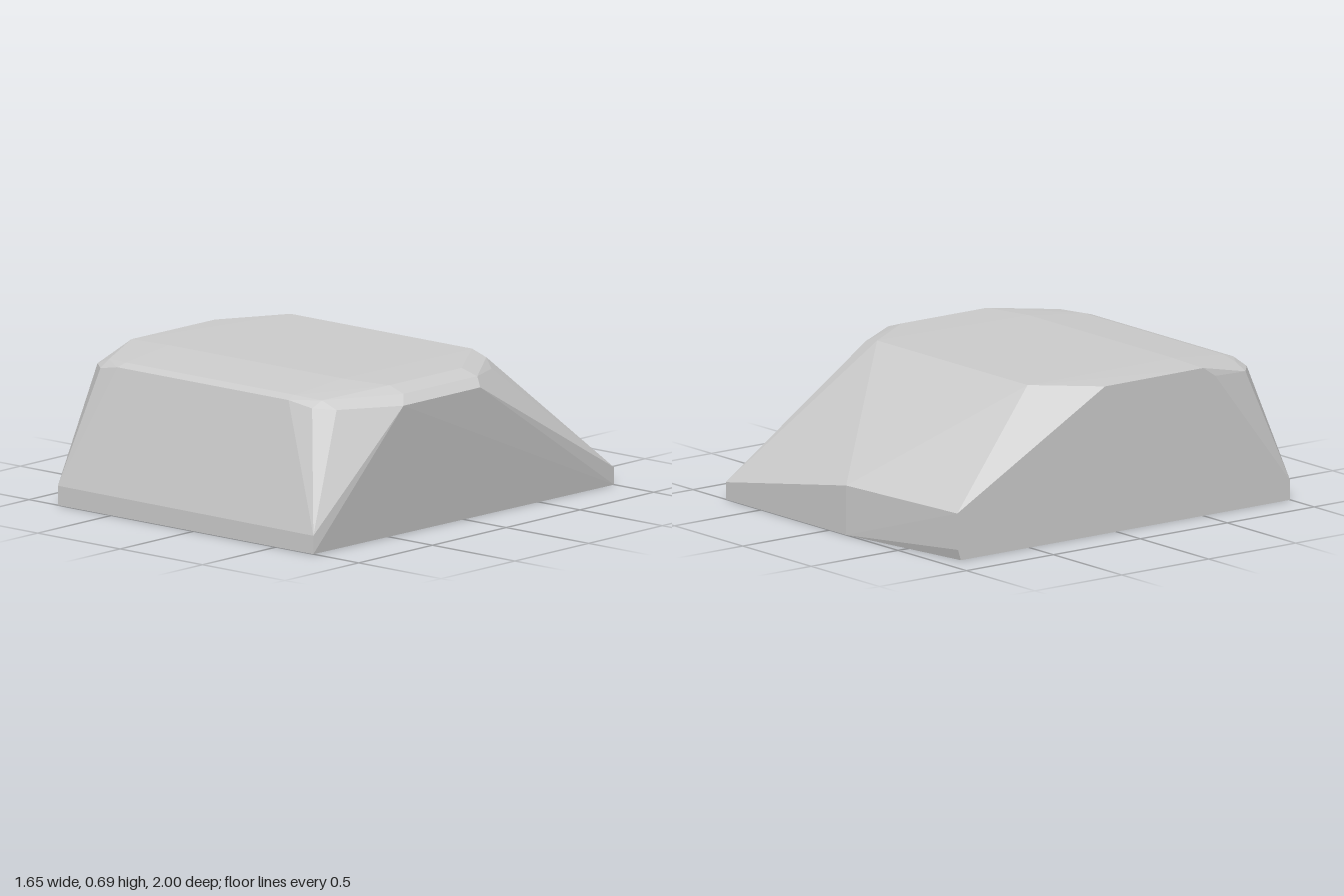
import * as THREE from 'three';
import { ConvexGeometry } from 'three/addons/geometries/ConvexGeometry.js';

const v = (x, y, z) => new THREE.Vector3(x, y, z);

export function createModel() {
  const group = new THREE.Group();
  group.name = 'wedgeBlock';

  // Flat base and the low upright rim around it
  const base = [
    v(0.725, 0, 1), v(0.725, 0.085, 1), v(-0.825, 0, 1), v(-0.825, 0.09, 1),
    v(0.76, 0, -1), v(0.76, 0.08, -1),
    v(-0.12, 0, -1), v(-0.12, 0.23, -1),
    v(-0.825, 0, -0.895), v(-0.825, 0.05, -0.91), v(-0.825, 0.22, -0.915),
  ];

  // Shoulder: where the sloping sides meet the bevel
  const shoulder = [
    v(0.825, 0.62, 0.5), v(0.825, 0.62, -0.02),
    v(0.66, 0.62, 0.77), v(0.57, 0.625, 0.835), v(0.44, 0.647, 0.85),
    v(-0.6, 0.647, 0.85), v(-0.71, 0.625, 0.84), v(-0.79, 0.625, 0.77),
    v(-0.825, 0.64, 0.57),
    v(0.66, 0.64, -0.28), v(0.58, 0.672, -0.335),
  ];

  // Bevel and nearly flat top
  const top = [
    v(0.78, 0.66, 0.45), v(0.78, 0.66, -0.05),
    v(0.695, 0.688, 0.45), v(0.695, 0.688, -0.04),
    v(0.58, 0.655, 0.78), v(0.43, 0.662, 0.8), v(-0.59, 0.662, 0.8), v(-0.72, 0.655, 0.77),
    v(0.45, 0.692, 0.5), v(-0.6, 0.692, 0.5),
    v(-0.825, 0.687, 0.5), v(-0.825, 0.685, -0.065),
    v(0.48, 0.695, -0.35), v(-0.62, 0.695, -0.35),
  ];

  const body = new THREE.Mesh(
    new ConvexGeometry([...base, ...shoulder, ...top]),
    new THREE.MeshStandardMaterial({ color: 0xcccccc, flatShading: true })
  );
  body.name = 'body';
  group.add(body);
  return group;
}
